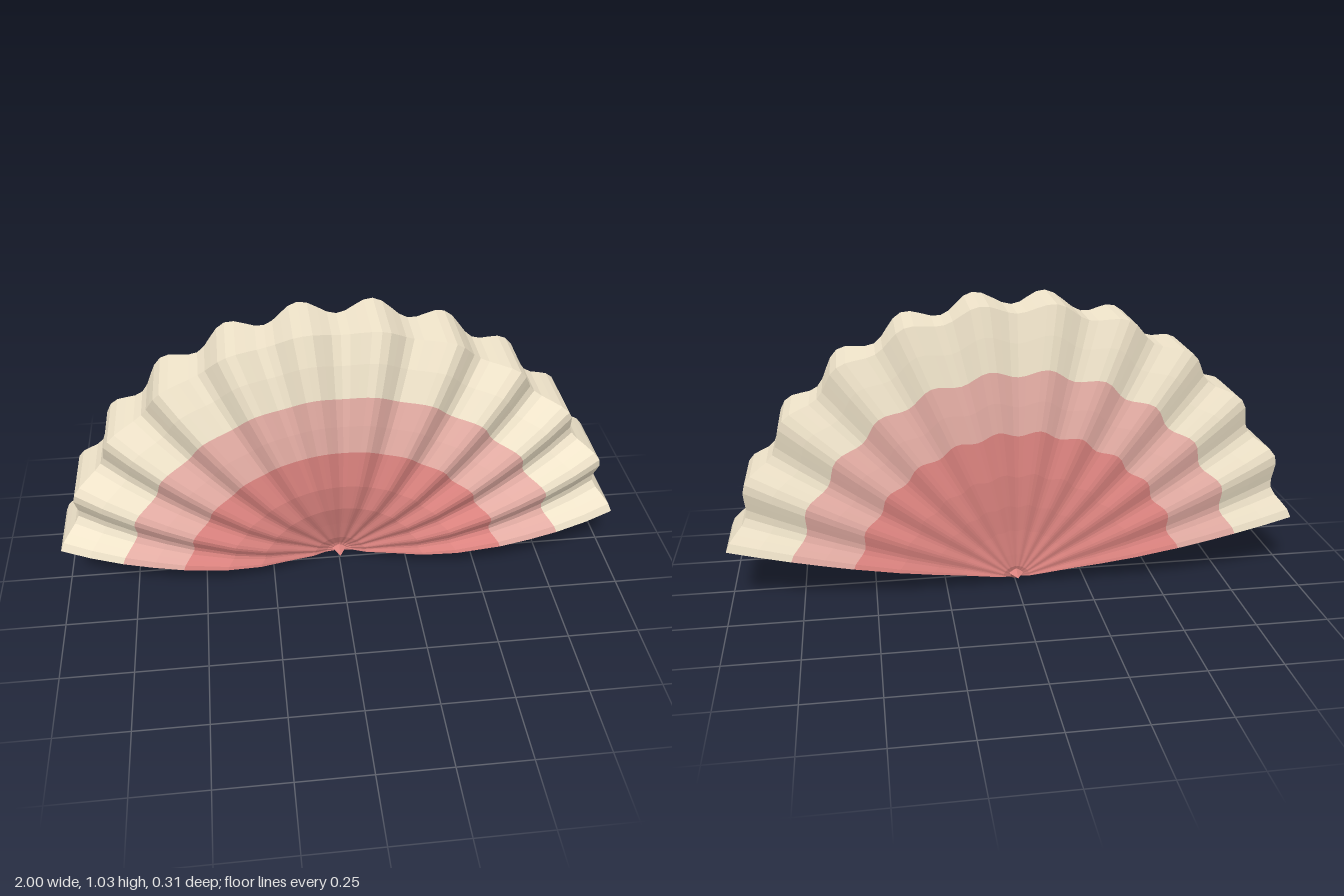
import * as THREE from 'three';

const STEP = (79 / 5.5) * Math.PI / 180; // angle of one pleat
const COLS = 88;                         // 11 pleats, 8 strips each
const HUB_Y = 0.02;

// radius fraction, front z, back z along a ridge
const PROFILE = [
  [0.02, -0.01, -0.075], [0.05, 0.0, -0.09], [0.1, 0.03, -0.098], [0.2, 0.07, -0.112],
  [0.3, 0.112, -0.13], [0.42, 0.142, -0.146], [0.575, 0.157, -0.155], [0.68, 0.155, -0.155],
  [0.785, 0.147, -0.151], [0.9, 0.127, -0.142], [1, 0.1, -0.13],
];

// point on the pleated surface; front = true for the +z side
function point(row, col, front) {
  const [s, zf, zb] = PROFILE[row];
  const a = (col / COLS - 0.5) * 11 * STEP;
  const ridge = 0.5 - 0.5 * Math.cos(2 * Math.PI * a / STEP);
  const r = s * (0.976 + 0.042 * ridge);
  const z = front ? zf - 0.055 * s * (1 - ridge) : zb + 0.03 * s * (1 - ridge);
  return [r * Math.sin(a), HUB_Y + r * Math.cos(a), z];
}

const quad = (out, a, b, c, d) => out.push(...a, ...b, ...c, ...a, ...c, ...d);

function facetMesh(name, positions, color) {
  const geometry = new THREE.BufferGeometry();
  geometry.setAttribute('position', new THREE.Float32BufferAttribute(positions, 3));
  geometry.computeVertexNormals();
  const mesh = new THREE.Mesh(geometry, new THREE.MeshStandardMaterial({ color, flatShading: true }));
  mesh.name = name;
  return mesh;
}

// front and back pleats between two profile rows
function band(name, from, to, color) {
  const out = [];
  for (let i = from; i < to; i++) {
    for (let j = 0; j < COLS; j++) {
      quad(out, point(i, j, true), point(i, j + 1, true), point(i + 1, j + 1, true), point(i + 1, j, true));
      quad(out, point(i, j, false), point(i + 1, j, false), point(i + 1, j + 1, false), point(i, j + 1, false));
    }
  }
  return facetMesh(name, out, color);
}

export function createModel() {
  const group = new THREE.Group();
  group.name = 'foldingFan';
  const cream = 0xf2e6cc, pink = 0xe8b0a7, coral = 0xe28783;
  const last = PROFILE.length - 1;

  // coloured rings of the pleated leaf
  group.add(band('innerLeaf', 0, 6, coral), band('middleLeaf', 6, 8, pink), band('outerLeaf', 8, last, cream));

  // scalloped rim
  const rim = [];
  for (let j = 0; j < COLS; j++) {
    quad(rim, point(last, j, true), point(last, j + 1, true), point(last, j + 1, false), point(last, j, false));
  }
  group.add(facetMesh('rim', rim, cream));

  // flat end faces
  const right = [], left = [];
  for (let i = 0; i < last; i++) {
    quad(right, point(i, 0, false), point(i, 0, true), point(i + 1, 0, true), point(i + 1, 0, false));
    quad(left, point(i, COLS, true), point(i, COLS, false), point(i + 1, COLS, false), point(i + 1, COLS, true));
  }
  group.add(facetMesh('rightEnd', right, cream), facetMesh('leftEnd', left, cream));

  // pointed hinge under the leaf, with a small pin through it
  const material = new THREE.MeshStandardMaterial({ color: coral, flatShading: true });
  const hinge = new THREE.Mesh(new THREE.OctahedronGeometry(1), material);
  hinge.name = 'hinge';
  hinge.scale.set(0.1, 0.03, 0.037);
  hinge.position.set(0, 0.03, -0.043);
  const pin = new THREE.Mesh(new THREE.OctahedronGeometry(1), material);
  pin.name = 'hingePin';
  pin.scale.set(0.045, 0.035, 0.085);
  pin.position.set(0, 0.04, -0.043);
  group.add(hinge, pin);
  return group;
}
